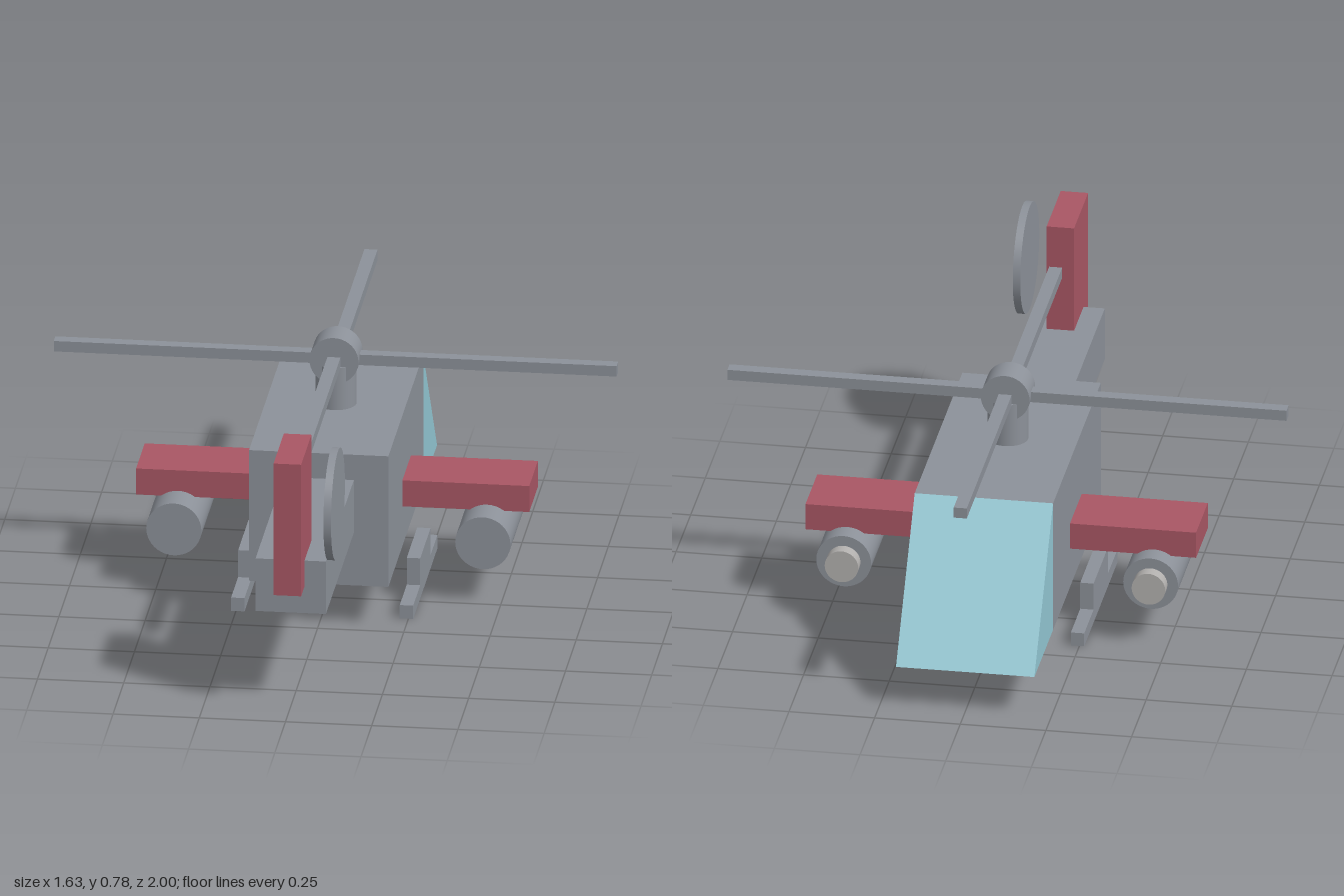
import * as THREE from 'three';

export function createModel() {
  const model = new THREE.Group();
  model.name = 'helicopter';

  const mat = (name, color) => {
    const m = new THREE.MeshStandardMaterial({ color });
    m.name = name;
    return m;
  };
  const grey = mat('hull grey', 0x8c9199);
  const red = mat('wing red', 0xa85664);
  const glass = mat('window blue', 0x92c6d2);
  const silver = mat('light grey', 0xb2b0ae);

  const add = (name, geometry, material) => {
    const mesh = new THREE.Mesh(geometry, material);
    mesh.name = name;
    model.add(mesh);
    return mesh;
  };
  // Box given by its limits on each axis
  const box = (name, material, [x0, x1], [y0, y1], [z0, z1]) =>
    add(name, new THREE.BoxGeometry(x1 - x0, y1 - y0, z1 - z0), material)
      .position.set((x0 + x1) / 2, (y0 + y1) / 2, (z0 + z1) / 2);
  // Cylinder given by centre, radius, length and axis
  const rod = (name, material, axis, r, length, x, y, z) => {
    const g = new THREE.CylinderGeometry(r, r, length, 40);
    if (axis === 'x') g.rotateZ(Math.PI / 2);
    if (axis === 'z') g.rotateX(Math.PI / 2);
    add(name, g, material).position.set(x, y, z);
  };

  // Fuselage and tail boom; the nose points to -z
  box('fuselage', grey, [-0.202, 0.202], [0.127, 0.53], [-0.595, 0.223]);
  box('tailBoom', grey, [-0.102, 0.102], [0.29, 0.452], [0.223, 0.877]);

  // Wedge-shaped cockpit, drawn in side profile and extruded across
  const profile = new THREE.Shape([
    new THREE.Vector2(0.595, 0.127),
    new THREE.Vector2(0.916, 0.127),
    new THREE.Vector2(0.595, 0.53),
  ]);
  const wedge = new THREE.ExtrudeGeometry(profile, { depth: 0.404, bevelEnabled: false });
  wedge.translate(0, 0, -0.202).rotateY(Math.PI / 2);
  add('cockpit', wedge, glass);

  // Tail fin and tail rotor disc
  box('tailFin', red, [-0.04, 0.04], [0.372, 0.778], [0.715, 0.956]);
  rod('tailRotor', grey, 'x', 0.163, 0.022, 0.121, 0.616, 0.837);

  // Main rotor
  const rz = -0.182;
  rod('mast', grey, 'y', 0.059, 0.135, 0, 0.5925, rz);
  rod('rotorHub', grey, 'z', 0.071, 0.096, 0, 0.677, rz);
  box('crossBlade', grey, [-0.816, 0.816], [0.657, 0.689], [rz - 0.019, rz + 0.019]);
  box('longBlade', grey, [-0.019, 0.019], [0.657, 0.689], [-1, 0.635]);

  // Stub wings, pods and skids on both sides
  for (const s of [-1, 1]) {
    const side = s > 0 ? 'left' : 'right';
    const span = (a, b) => (s > 0 ? [a, b] : [-b, -a]);
    box(side + 'Wing', red, span(0.202, 0.57), [0.25, 0.33], [-0.306, -0.104]);
    rod(side + 'Pod', grey, 'z', 0.08, 0.366, s * 0.448, 0.187, -0.185);
    rod(side + 'PodTip', silver, 'z', 0.049, 0.038, s * 0.448, 0.187, -0.387);
    box(side + 'Skid', grey, span(0.225, 0.264), [0, 0.041], [-0.426, 0.142]);
    box(side + 'SkidStrut', grey, span(0.225, 0.264), [0.041, 0.124], [-0.265, -0.022]);
  }
  return model;
}
